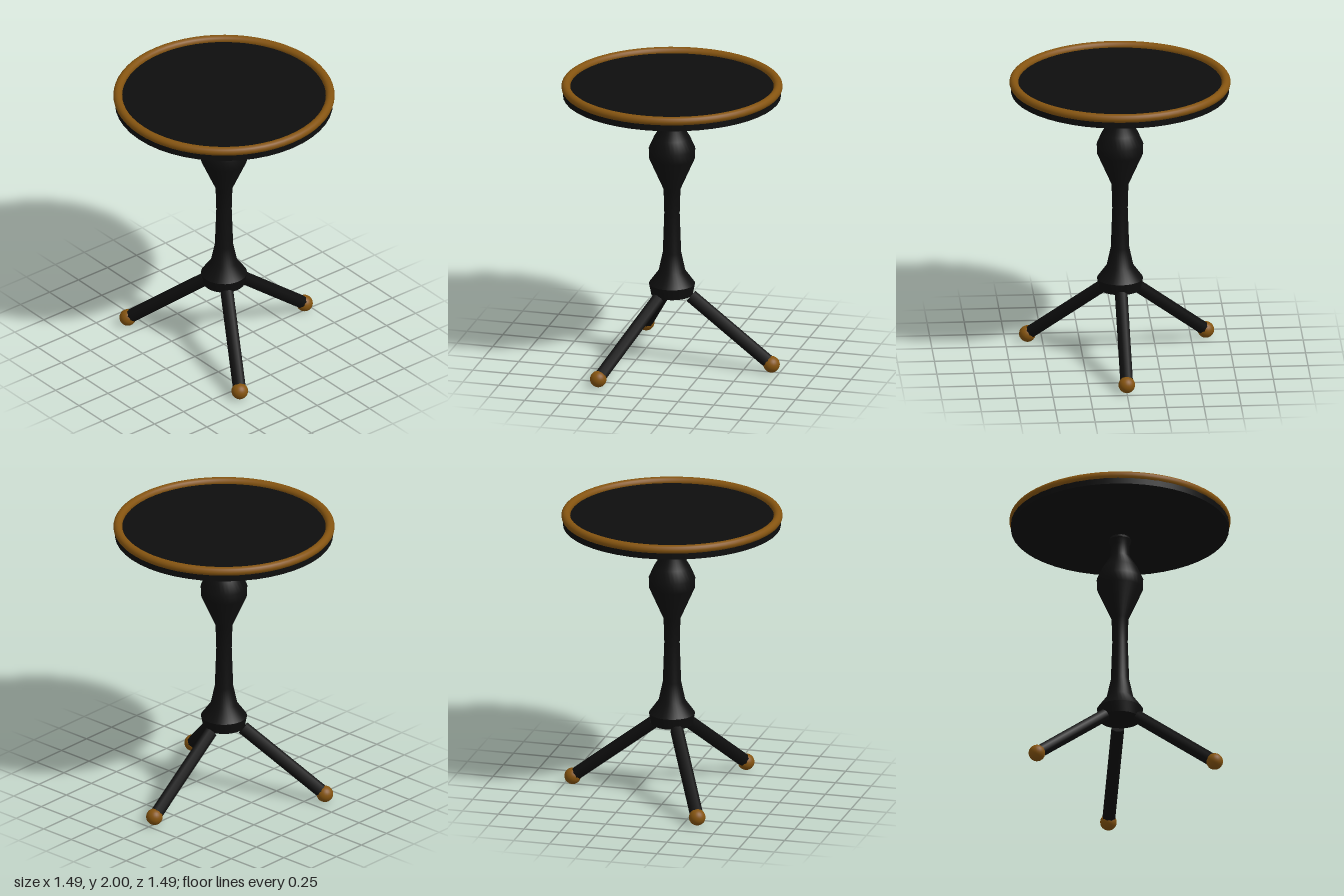
import * as THREE from 'three';
import { toCreasedNormals } from 'three/addons/utils/BufferGeometryUtils.js';

const black = new THREE.MeshStandardMaterial({ color: 0x0e0e0e });
black.name = 'black lacquer';
const bronze = new THREE.MeshStandardMaterial({ color: 0x855410 });
bronze.name = 'bronze';

function part(name, geometry, material, parent) {
  const mesh = new THREE.Mesh(geometry, material);
  mesh.name = name;
  parent.add(mesh);
  return mesh;
}

export function createModel() {
  const table = new THREE.Group();
  table.name = 'pedestalTable';

  // Round top with a bronze rim
  part('tableTop', new THREE.CylinderGeometry(0.733, 0.733, 0.06, 48), black, table).position.y = 1.935;
  const rim = part('rim', new THREE.TorusGeometry(0.714, 0.03, 16, 64), bronze, table);
  rim.rotation.x = Math.PI / 2;
  rim.position.y = 1.97;

  // Turned column, profile from the base up: [radius, height]
  const profile = [
    [0, 0.495], [0.14, 0.495], [0.155, 0.57], [0.09, 0.66], [0.062, 0.79],
    [0.052, 1.07], [0.057, 1.24], [0.154, 1.46], [0.157, 1.53], [0.122, 1.61],
    [0.066, 1.70], [0.064, 1.78], [0.078, 1.82], [0.066, 1.84], [0.085, 1.865],
    [0.13, 1.885], [0.235, 1.906],
  ].map(([r, y]) => new THREE.Vector2(r, y));
  part('column', toCreasedNormals(new THREE.LatheGeometry(profile, 32), 0.7), black, table);

  // Three splayed legs, each ending in a ball foot
  const top = new THREE.Vector3(0.132, 0.49, 0);
  const foot = new THREE.Vector3(0.694, 0.056, 0);
  const along = top.clone().sub(foot);
  for (let i = 0; i < 3; i++) {
    const limb = new THREE.Group();
    limb.name = 'legAssembly' + (i + 1);
    limb.rotation.y = (i * Math.PI * 2) / 3;
    table.add(limb);

    const shaft = new THREE.CylinderGeometry(0.045, 0.045, along.length(), 8).rotateY(Math.PI / 8);
    const leg = part('leg', shaft, black, limb);
    leg.position.copy(top).add(foot).multiplyScalar(0.5);
    leg.quaternion.setFromUnitVectors(new THREE.Vector3(0, 1, 0), along.clone().normalize());

    part('ballFoot', new THREE.SphereGeometry(0.056, 24, 16), bronze, limb).position.copy(foot);
  }
  return table;
}
